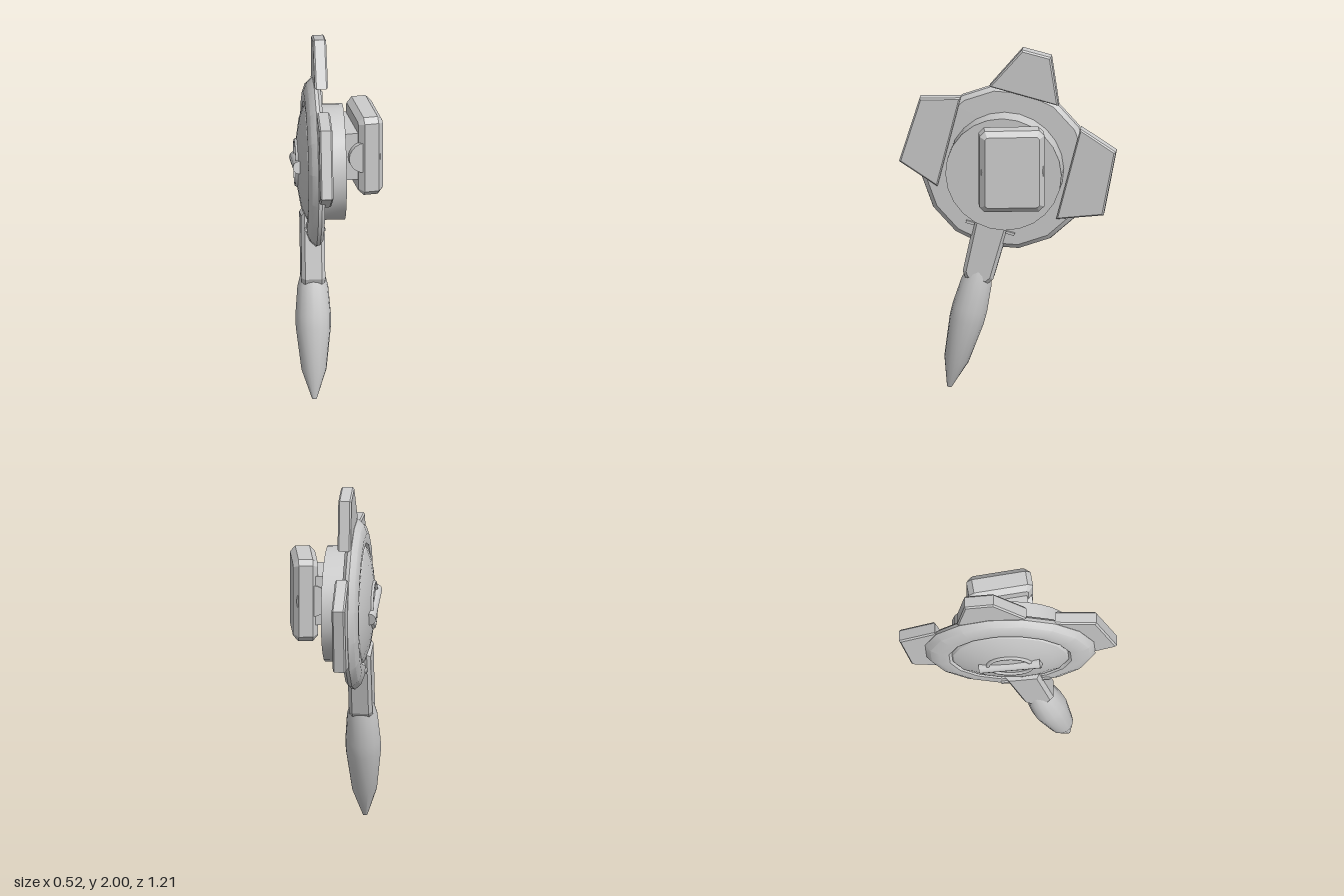
import * as THREE from 'three';
import { toCreasedNormals } from 'three/addons/utils/BufferGeometryUtils.js';

const grey = new THREE.MeshStandardMaterial({ color: 0xcccccc });
grey.name = 'lightGrey';

function add(parent, name, geometry, x = 0, y = 0, z = 0) {
  const mesh = new THREE.Mesh(geometry, grey);
  mesh.name = name;
  mesh.position.set(x, y, z);
  parent.add(mesh);
  return mesh;
}

// Bevelled plate: outline given as [z, y] points, filling x0..x1
function plate(outline, x0, x1, bevel) {
  const shape = new THREE.Shape(outline.map(([z, y]) => new THREE.Vector2(z, y)));
  const g = new THREE.ExtrudeGeometry(shape, {
    depth: x1 - x0 - 2 * bevel, bevelEnabled: true, bevelSegments: 1,
    bevelSize: bevel, bevelThickness: bevel, bevelOffset: -bevel,
  });
  g.rotateY(-Math.PI / 2);
  g.translate(x1 - bevel, 0, 0);
  return g;
}

// Turned part from [radius, height] points
function turned(profile, sides, crease = 0.5) {
  return toCreasedNormals(
    new THREE.LatheGeometry(profile.map(([r, h]) => new THREE.Vector2(r, h)), sides), crease);
}

export function createModel() {
  const model = new THREE.Group();
  model.name = 'shieldBlade';

  // Disc frame, its axis turned a little towards the front
  const frame = new THREE.Group();
  frame.name = 'discAssembly';
  frame.position.set(0, 1.3, 0.02);
  frame.rotation.y = -0.165;
  model.add(frame);

  // Parts lined up with the leaning handle
  const spun = new THREE.Group();
  spun.name = 'handleAssembly';
  spun.rotation.x = -0.243;
  frame.add(spun);

  // Domed disc with raised rim
  const disc = turned([
    [0, -0.212], [0.13, -0.205], [0.25, -0.185], [0.32, -0.16], [0.33, -0.148],
    [0.345, -0.16], [0.4, -0.162], [0.45, -0.143], [0.48, -0.11], [0.475, -0.09],
    [0.45, -0.072], [0, -0.07],
  ], 16);
  disc.rotateZ(-Math.PI / 2);
  add(spun, 'disc', disc);

  // Drum on the inner side
  const drum = turned([[0, -0.08], [0.325, -0.08], [0.325, 0.056], [0, 0.056]], 24);
  drum.rotateZ(-Math.PI / 2);
  add(spun, 'drum', drum);

  // Hub ring and cross bar on the dome
  const ring = new THREE.TorusGeometry(0.125, 0.012, 6, 24);
  ring.rotateY(Math.PI / 2);
  add(spun, 'hubRing', ring, -0.207, 0, 0);
  const bar = toCreasedNormals(new THREE.CylinderGeometry(0.036, 0.036, 0.35, 12), 0.6);
  bar.rotateX(Math.PI / 2);
  add(spun, 'hubBar', bar, -0.2, 0, 0);

  // Three blades around the rim
  const blades = {
    topBlade: [[0.09, 0.48], [-0.094, 0.70], [-0.256, 0.66], [-0.297, 0.38]],
    frontBlade: [[0.25, 0.41], [0.48, 0.40], [0.595, 0.03], [0.38, -0.11]],
    backBlade: [[-0.42, 0.25], [-0.62, 0.12], [-0.55, -0.25], [-0.285, -0.28]],
  };
  for (const [name, outline] of Object.entries(blades)) {
    add(frame, name, plate(outline, -0.108, -0.034, 0.009));
  }

  // Handle: shaft, small clips beside it, and spindle grip
  add(spun, 'shaft', plate([
    [-0.1, -0.27], [0.1, -0.27], [0.088, -0.65], [0.06, -0.69], [-0.06, -0.69], [-0.088, -0.65],
  ], -0.19, -0.058, 0.02));
  for (const side of [-1, 1]) {
    add(spun, 'shaftClip', new THREE.BoxGeometry(0.115, 0.015, 0.05), -0.115, -0.36, side * 0.115);
  }
  add(spun, 'grip', turned([
    [0, -1.342], [0.013, -1.338], [0.07, -1.17], [0.098, -0.93], [0.099, -0.86],
    [0.086, -0.7], [0.06, -0.6], [0, -0.59],
  ], 16), -0.125, 0, 0);

  // Bracket and hinge pin joining the pad to the drum
  add(model, 'bracket', new THREE.BoxGeometry(0.1, 0.28, 0.31), 0.08, 1.37, -0.02);
  const pin = toCreasedNormals(new THREE.CylinderGeometry(0.09, 0.09, 0.35, 20), 0.6);
  pin.rotateX(Math.PI / 2);
  add(model, 'hingePin', pin, 0.148, 1.37, -0.01);

  // Chamfered pad
  const h = 0.235, w = 0.182, c = 0.03;
  add(model, 'pad', plate([
    [w, h - c], [w - c, h], [c - w, h], [-w, h - c],
    [-w, c - h], [c - w, -h], [w - c, -h], [w, c - h],
  ], -0.07, 0.07, 0.03), 0.185, 1.37, -0.008);

  return model;
}
